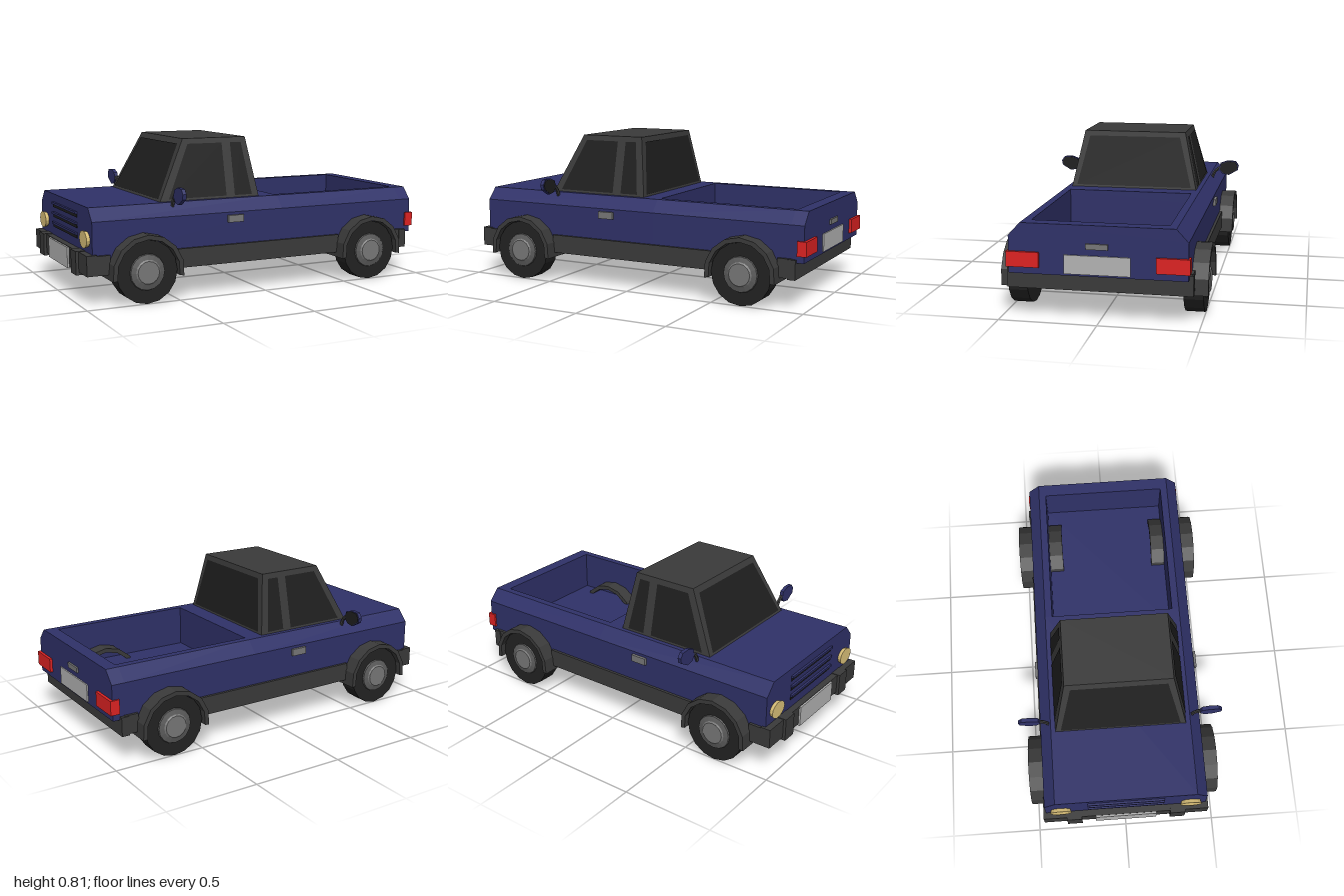
import * as THREE from 'three';

const mat = (color) => new THREE.MeshStandardMaterial({ color, flatShading: true, side: THREE.DoubleSide });

export function createModel() {
  const truck = new THREE.Group();
  const blue = mat(0x2f3168), grey = mat(0x3a3a3a), glass = mat(0x1e1e1e), tyreMat = mat(0x222222);
  const red = mat(0xdd2222), plateMat = mat(0xb2b2b2), metal = mat(0x777777), rim = mat(0x5c5c5c), lamp = mat(0xdcc27a);

  const add = (name, geometry, material, parent = truck) => {
    const mesh = new THREE.Mesh(geometry, material);
    mesh.name = name;
    parent.add(mesh);
    return mesh;
  };
  // Box given by its min and max on each axis
  const box = (name, material, x0, x1, y0, y1, z0, z1) => {
    const g = new THREE.BoxGeometry(x1 - x0, y1 - y0, Math.abs(z1 - z0));
    return add(name, g.translate((x0 + x1) / 2, (y0 + y1) / 2, (z0 + z1) / 2), material);
  };
  const shapeOf = (pts) => new THREE.Shape(pts.map(([a, b]) => new THREE.Vector2(a, b)));
  // Outline of [z, y] points extruded along x
  const alongX = (pts, x0, x1) =>
    new THREE.ExtrudeGeometry(shapeOf(pts.map(([z, y]) => [-z, y])), { depth: x1 - x0, bevelEnabled: false })
      .rotateY(Math.PI / 2).translate(x0, 0, 0);
  // Flat panels from groups of four corners, counter-clockwise from outside
  const quads = (list) => {
    const g = new THREE.BufferGeometry();
    const pos = list.flatMap(([a, b, c, d]) => [a, b, c, a, c, d].flat());
    g.setAttribute('position', new THREE.Float32BufferAttribute(pos, 3));
    g.computeVertexNormals();
    return g;
  };

  // Body: solid front and tailgate, trough-shaped bed between
  const right = [[-0.385, 0.495], [-0.445, 0.43], [-0.445, 0.24]];
  const left = [[0.445, 0.24], [0.445, 0.43], [0.385, 0.495]];
  const solid = [...right, ...left];
  const trough = [...solid, [0.345, 0.495], [0.345, 0.275], [-0.345, 0.275], [-0.345, 0.495]];
  add('frontBody', alongX(solid, -0.95, 0.13), blue);
  add('bed', alongX(trough, 0.13, 0.91), blue);
  add('tailgate', alongX(solid, 0.91, 0.98), blue);

  // Cab: tapered shell
  const y0 = 0.495, y1 = 0.815;
  const [A, B, C, D] = [[-0.55, y0, 0.36], [0.03, y0, 0.36], [0.03, y0, -0.36], [-0.55, y0, -0.36]];
  const [E, F, G, H] = [[-0.39, y1, 0.29], [-0.02, y1, 0.29], [-0.02, y1, -0.29], [-0.39, y1, -0.29]];
  add('cab', quads([[A, B, F, E], [B, C, G, F], [C, D, H, G], [D, A, E, H], [E, F, G, H]]), grey);

  // Windows lie just outside the cab shell
  const t = (y) => (y - y0) / (y1 - y0);
  const frontAt = (z, y) => [-0.554 + 0.16 * t(y), y, z];
  const rearAt = (z, y) => [0.034 - 0.05 * t(y), y, z];
  const low = 0.507, high = 0.787;
  add('windscreen', quads([[frontAt(-0.33, low), frontAt(0.33, low), frontAt(0.26, high), frontAt(-0.26, high)]]), glass);
  add('rearWindow', quads([[rearAt(0.33, low), rearAt(-0.33, low), rearAt(-0.26, high), rearAt(0.26, high)]]), glass);
  for (const s of [1, -1]) {
    const at = (x, y) => [x, y, s * (0.364 - 0.07 * t(y))];
    const pane = (a, b, c, d) => {
      const q = [at(a, low), at(b, low), at(c, high), at(d, high)];
      return quads([s > 0 ? q : q.reverse()]);
    };
    add('doorWindow', pane(-0.5, -0.165, -0.165, -0.365), glass);
    add('quarterWindow', pane(-0.115, -0.012, -0.05, -0.115), glass);
  }

  // Wheels and arches
  const tyreProfile = [[0, 0.4], [0.165, 0.4], [0.165, 0.5], [0.095, 0.5], [0.095, 0.49]];
  const rimProfile = [[0.097, 0.495], [0.092, 0.507], [0.066, 0.514]];
  const capProfile = [[0.066, 0.514], [0.058, 0.52], [0, 0.52]];
  const lathe = (pts) => new THREE.LatheGeometry(pts.map(([r, h]) => new THREE.Vector2(r, h)), 16).rotateX(Math.PI / 2);
  const arc = (r) => Array.from({ length: 9 }, (_, i) => {
    const a = THREE.MathUtils.degToRad(-9 + i * 198 / 8);
    return [r * Math.cos(a), r * Math.sin(a)];
  });
  const archShape = shapeOf([...arc(0.194), ...arc(0.17).reverse()]);
  for (const x of [-0.68, 0.665]) {
    for (const s of [1, -1]) {
      const wheel = new THREE.Group();
      wheel.name = 'wheel';
      wheel.position.set(x, 0.165, 0);
      wheel.rotation.y = s > 0 ? 0 : Math.PI;
      truck.add(wheel);
      add('tyre', lathe(tyreProfile), tyreMat, wheel);
      add('rim', lathe(rimProfile), rim, wheel);
      add('hubCap', lathe(capProfile), metal, wheel);
      const arch = new THREE.ExtrudeGeometry(archShape, { depth: 0.26, bevelEnabled: false });
      add('wheelArch', arch.translate(0, 0, 0.267), grey, wheel);
    }
  }

  // Bumpers, plates, tailgate handle
  box('frontBumper', grey, -0.985, -0.93, 0.16, 0.265, -0.46, 0.46);
  box('rearBumper', grey, 0.9, 0.942, 0.155, 0.257, -0.465, 0.465);
  box('frontPlate', plateMat, -0.995, -0.98, 0.152, 0.262, -0.17, 0.17);
  box('rearPlate', plateMat, 0.975, 0.987, 0.25, 0.345, -0.165, 0.165);
  box('tailgateHandle', metal, 0.975, 0.99, 0.377, 0.405, -0.055, 0.055);

  // Grille louvres
  for (const y of [0.33, 0.385, 0.44]) {
    box('grilleSlot', glass, -0.953, -0.94, y - 0.018, y, -0.21, 0.21);
    box('grilleSlat', blue, -0.962, -0.94, y, y + 0.012, -0.21, 0.21);
  }

  const mirrorOutline = [[0.558, 0.555], [0.54, 0.58], [0.49, 0.583], [0.447, 0.567],
    [0.438, 0.527], [0.46, 0.502], [0.5, 0.495], [0.553, 0.527]];
  for (const s of [1, -1]) {
    // Sills, broken at the wheels
    for (const [a, b] of [[-0.95, -0.86], [-0.5, 0.485], [0.845, 0.92]]) {
      box('sill', grey, a, b, 0.16, 0.26, s * 0.425, s * 0.46);
    }
    box('bumperGuard', grey, -1, -0.93, 0.145, 0.268, s * 0.247, s * 0.33);
    box('tailLight', red, 0.945, 0.995, 0.275, 0.352, s * 0.29, s * 0.455);
    box('doorHandle', metal, -0.2, -0.11, 0.377, 0.415, s * 0.43, s * 0.46);

    // Headlight: flattened disc
    const lampGeo = new THREE.CylinderGeometry(0.05, 0.06, 0.03, 14).rotateZ(Math.PI / 2).scale(-1, 0.75, 1);
    lampGeo.rotateY(Math.PI).scale(-1, 1, 1);
    add('headlight', lampGeo, lamp).position.set(-0.955, 0.333, s * 0.36);

    // Door mirror on a curved stalk
    const outline = mirrorOutline.map(([z, y]) => [s * z, y]);
    const inner = mirrorOutline.map(([z, y]) => [s * (0.498 + (z - 0.498) * 0.9), 0.54 + (y - 0.54) * 0.9]);
    add('mirrorShell', alongX(outline, -0.508, -0.488), blue);
    add('mirrorGlass', alongX(inner, -0.489, -0.485), glass);
    const stalk = new THREE.CatmullRomCurve3([[0.395, 0.47], [0.415, 0.515], [0.445, 0.54]]
      .map(([z, y]) => new THREE.Vector3(-0.497, y, s * z)));
    add('mirrorStalk', new THREE.TubeGeometry(stalk, 5, 0.01, 6), grey);
  }
  return truck;
}
